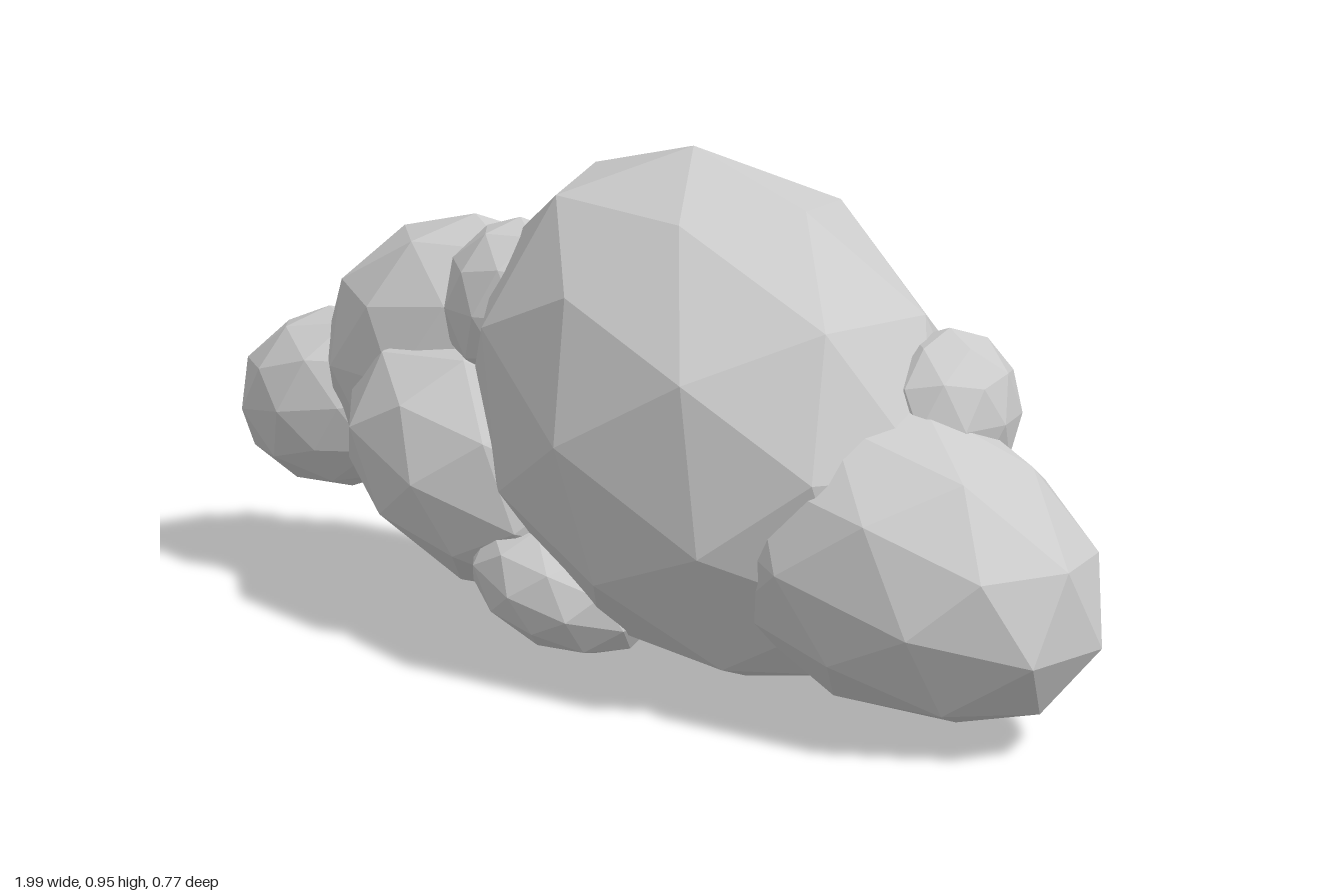
import * as THREE from 'three';

// Each puff: name, centre, radii, [yaw, roll]
const PUFFS = [
  ['mainPuff', [0.18, 0.477, 0], [0.55, 0.45, 0.39], [-0.15, -0.5]],
  ['leftPuff', [0.58, 0.31, 0.03], [0.44, 0.268, 0.285], [-0.12, -0.28]],
  ['leftBackPuff', [0.62, 0.53, -0.08], [0.125, 0.15, 0.16], [0.3, 0]],
  ['rightUpperPuff', [-0.45, 0.467, -0.05], [0.35, 0.292, 0.235], [0, 0]],
  ['rightLowerPuff', [-0.28, 0.33, 0.04], [0.365, 0.235, 0.28], [0, -0.32]],
  ['rightEndPuff', [-0.785, 0.36, -0.02], [0.225, 0.18, 0.178], [0, 0.15]],
  ['rightEndBump', [-0.755, 0.488, -0.095], [0.09, 0.105, 0.108], [0.3, 0]],
  ['frontBottomPuff', [-0.045, 0.163, 0.16], [0.195, 0.12, 0.162], [0, -0.3]],
  ['topBump', [-0.23, 0.63, 0.07], [0.155, 0.165, 0.135], [0, 0]],
];

export function createModel() {
  const cloud = new THREE.Group();
  cloud.name = 'cloud';
  const material = new THREE.MeshStandardMaterial({ color: 0xcccccc, flatShading: true });

  // Faceted ball standing on a corner, shared by every puff
  const ball = new THREE.IcosahedronGeometry(1, 1);
  ball.rotateX(-Math.atan((1 + Math.sqrt(5)) / 2));
  ball.rotateY(-Math.PI / 2);

  for (const [name, centre, radii, [yaw, roll]] of PUFFS) {
    const puff = new THREE.Mesh(ball, material);
    puff.name = name;
    puff.position.set(...centre);
    puff.scale.set(...radii);
    puff.rotation.set(0, yaw, roll, 'YZX');
    cloud.add(puff);
  }
  return cloud;
}
